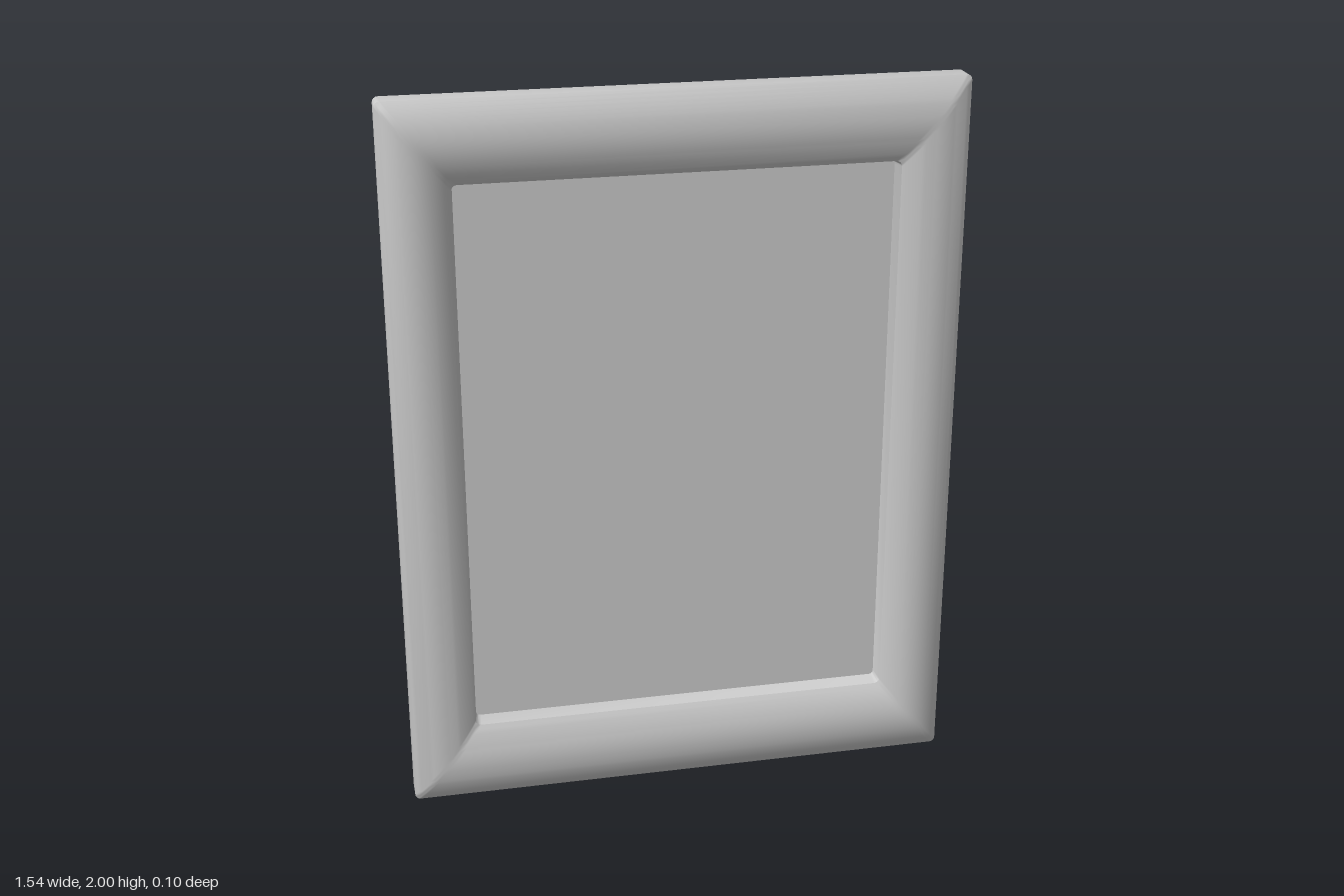
import * as THREE from 'three';
import { toCreasedNormals } from 'three/addons/utils/BufferGeometryUtils.js';

const W = 0.77, H = 1;                 // outer half size
const RAIL_X = 0.18, RAIL_Y = 0.22;    // widths of side and top/bottom rails
const BACK = -0.05, EDGE = 0.015, CROWN = 0.05, PANEL = -0.03;
const CORNER_STEPS = 4;

// Rounded rectangle as a counter-clockwise ring of points
function ring(w, h, r) {
  const points = [];
  [[1, 1], [-1, 1], [-1, -1], [1, -1]].forEach(([sx, sy], corner) => {
    for (let k = 0; k <= CORNER_STEPS; k++) {
      const a = (corner + k / CORNER_STEPS) * Math.PI / 2;
      points.push(new THREE.Vector2(sx * (w - r) + r * Math.cos(a), sy * (h - r) + r * Math.sin(a)));
    }
  });
  return points;
}

// Skin a list of { w, h, r, z } rings
function loft(sections) {
  const positions = [], index = [];
  const n = 4 * (CORNER_STEPS + 1);
  sections.forEach(({ w, h, r, z }, i) => {
    ring(w, h, r).forEach((p, j) => {
      positions.push(p.x, p.y, z);
      if (i === sections.length - 1) return;
      const a = i * n + j, b = i * n + (j + 1) % n;
      index.push(a, b, b + n, a, b + n, a + n);
    });
  });
  const geometry = new THREE.BufferGeometry();
  geometry.setAttribute('position', new THREE.Float32BufferAttribute(positions, 3));
  geometry.setIndex(index);
  return toCreasedNormals(geometry, 0.56);
}

export function createModel() {
  const group = new THREE.Group();
  const material = new THREE.MeshStandardMaterial({ color: 0xcccccc });
  const add = (name, geometry, z = 0) => {
    const mesh = new THREE.Mesh(geometry, material);
    mesh.name = name;
    mesh.position.set(0, H, z);
    group.add(mesh);
    return mesh;
  };

  // Moulding: eased back edge, flat outer wall, arched face, inner wall
  const bevel = 0.006;
  const sections = [
    { w: W - bevel, h: H - bevel, r: 0.012, z: BACK },
    { w: W - bevel * 0.3, h: H - bevel * 0.3, r: 0.014, z: BACK + bevel * 0.3 },
    { w: W, h: H, r: 0.015, z: BACK + bevel },
  ];
  const steps = 20;
  for (let i = 0; i <= steps; i++) {
    const t = i / steps;
    sections.push({
      w: W - RAIL_X * t,
      h: H - RAIL_Y * t,
      r: 0.015,
      z: EDGE + (CROWN - EDGE) * (1 - (2 * t - 1) ** 2),
    });
  }
  const innerW = W - RAIL_X - 0.006, innerH = H - RAIL_Y - 0.006;
  sections.push({ w: innerW, h: innerH, r: 0.012, z: PANEL });
  add('frameMoulding', loft(sections));

  // Recessed picture panel
  add('picturePanel', new THREE.ShapeGeometry(new THREE.Shape(ring(innerW, innerH, 0.012))), PANEL);

  // Flat back
  const back = new THREE.ShapeGeometry(new THREE.Shape(ring(W - bevel, H - bevel, 0.012)));
  add('backPanel', back, BACK).rotation.y = Math.PI;

  return group;
}
